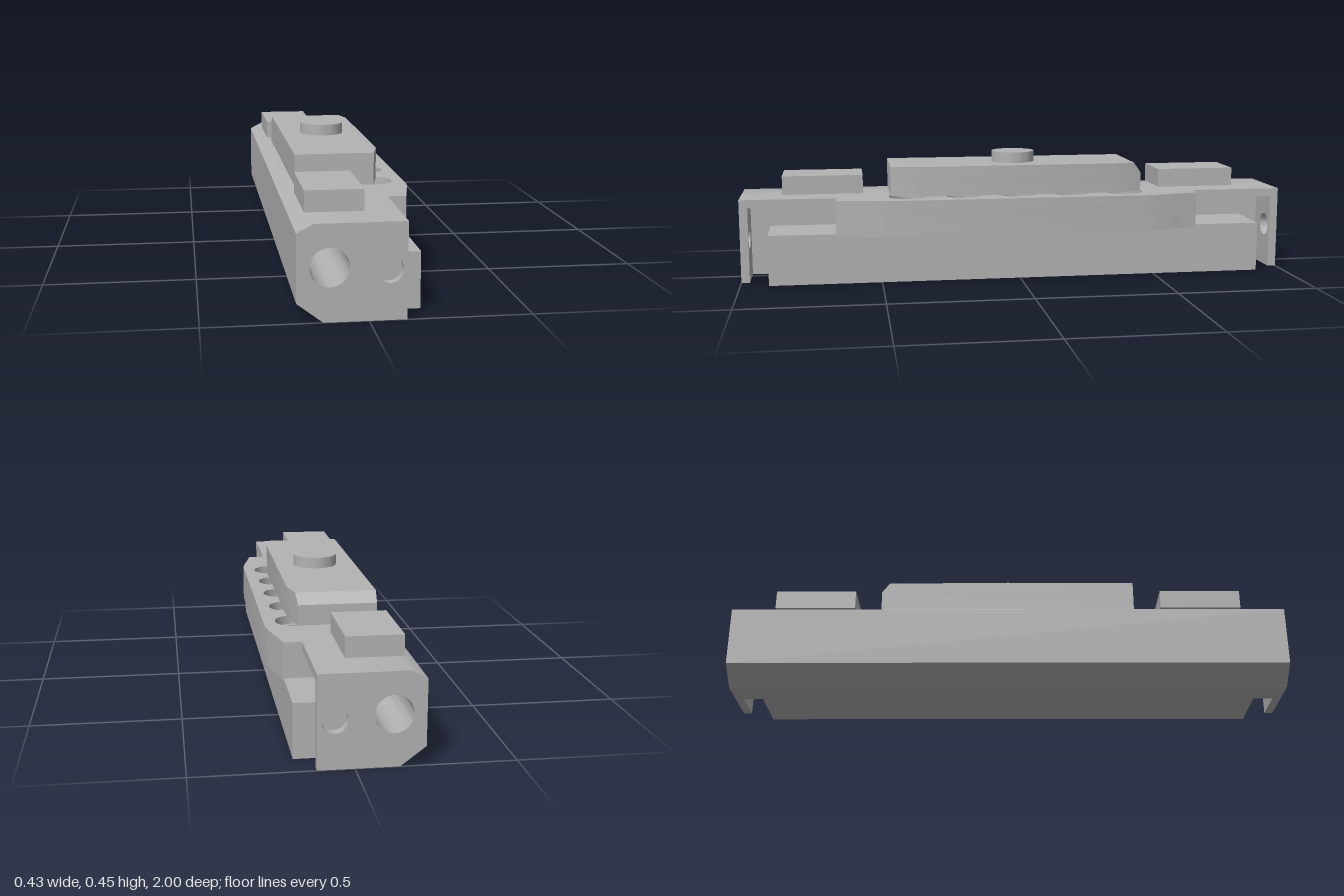
import * as THREE from 'three';
import { toCreasedNormals } from 'three/addons/utils/BufferGeometryUtils.js';

const grey = new THREE.MeshStandardMaterial({ color: 0xb3b3b3 });
grey.name = 'plain grey';

// Closed shape from [a, b] points, with round holes given as [a, b, radius]
function outline(points, holes = []) {
  const shape = new THREE.Shape(points.map(([a, b]) => new THREE.Vector2(a, b)));
  for (const [a, b, r] of holes) {
    shape.holes.push(new THREE.Path().absarc(a, b, r, 0, Math.PI * 2, true));
  }
  return shape;
}

function extrude(shape, depth) {
  return new THREE.ExtrudeGeometry(shape, { depth, bevelEnabled: false, curveSegments: 24 });
}

// Cross-section in x, y pushed from z0 to z1
function alongZ(shape, z0, z1) {
  return extrude(shape, z1 - z0).translate(0, 0, z0);
}

// Plan in x, -z pushed from y0 to y1
function alongY(shape, y0, y1) {
  return extrude(shape, y1 - y0).rotateX(-Math.PI / 2).translate(0, y0, 0);
}

function box(x0, x1, y0, y1, z0, z1) {
  return new THREE.BoxGeometry(x1 - x0, y1 - y0, z1 - z0)
    .translate((x0 + x1) / 2, (y0 + y1) / 2, (z0 + z1) / 2);
}

export function createModel() {
  const model = new THREE.Group();
  model.name = 'slideHousing';
  const add = (name, geometry) => {
    const mesh = new THREE.Mesh(toCreasedNormals(geometry, 0.5), grey);
    mesh.name = name;
    model.add(mesh);
  };

  const split = -0.03; // back of the end pockets
  const wall = 0.115;  // outer edge of the shell

  // Chamfered long rail with the through bore
  add('boredRail', alongZ(outline(
    [[split, 0], [split, 0.3], [-0.165, 0.3], [-0.217, 0.273], [-0.217, 0.061], [-0.137, 0]],
    [[-0.118, 0.167, 0.06]]), -1, 1));

  // Core under the deck, running out into both pockets
  add('core', box(split, 0.175, 0, 0.17, -0.66, 0.66));

  // Deck flaring outwards in the middle, with a row of stepped holes
  const flare = [[0.175, 0.66], [0.192, 0.58], [0.206, 0.52], [0.215, 0.47]];
  const deck = [[split, -0.66], ...flare.map(([x, z]) => [x, -z]),
    ...[...flare].reverse(), [split, 0.66]];
  const row = (r) => [-0.4, -0.2, 0, 0.2, 0.4].map((z) => [0.105, z, r]);
  add('lowerDeck', alongY(outline(deck, row(0.056)), 0.17, 0.27));
  add('upperDeck', alongY(outline(deck, row(0.07)), 0.27, 0.3));

  for (const s of [-1, 1]) {
    const end = s > 0 ? 'front' : 'back';
    const span = (a, b) => (s > 0 ? [a, b] : [-b, -a]);

    // Thin end plate with the small hole
    add(end + 'EndPlate', alongZ(outline(
      [[split, 0], [wall, 0], [wall, 0.3], [split, 0.3]],
      [[0.062, 0.155, 0.041]]), ...span(0.97, 1)));

    // Pocket roof, low core step and raised pad
    add(end + 'PocketRoof', box(split, wall, 0.27, 0.3, ...span(0.66, 0.97)));
    add(end + 'CoreStep', box(split, 0.175, 0, 0.18, ...span(0.66, 0.9)));
    add(end + 'Pad', box(-0.177, 0.008, 0.3, 0.368, ...span(0.56, 0.852)));
  }

  // Slider block: clipped corners, bevelled back top edge
  const plan = outline([[-0.165, -0.463], [0.103, -0.463], [0.128, -0.36],
    [0.128, 0.36], [0.103, 0.465], [-0.165, 0.465]]);
  add('sliderBase', alongY(plan, 0.3, 0.37));
  const top = alongY(plan, 0.37, 0.408);
  const p = top.attributes.position;
  for (let i = 0; i < p.count; i++) {
    if (p.getY(i) > 0.4 && p.getZ(i) < -0.45) {
      p.setZ(i, -0.437);
      if (p.getX(i) > 0) p.setX(i, 0.11);
    }
  }
  top.computeVertexNormals();
  add('sliderTop', top);

  // Round button
  add('button', new THREE.CylinderGeometry(0.079, 0.079, 0.039, 48).translate(-0.017, 0.4275, 0));

  return model;
}
